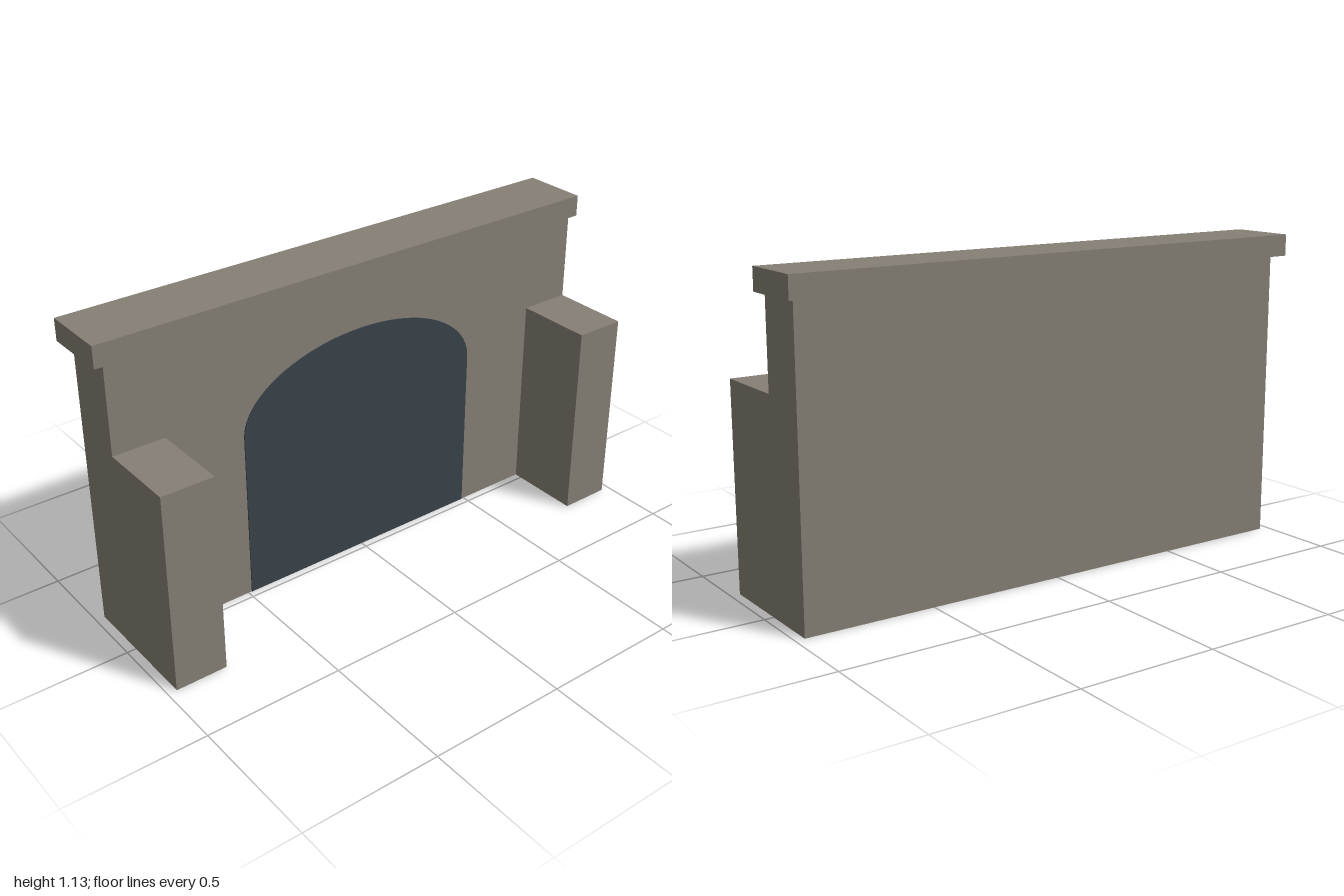
import * as THREE from 'three';

export function createModel() {
  const group = new THREE.Group();
  const stone = new THREE.MeshStandardMaterial({ color: 0x857f74 });
  stone.name = 'stone';
  const dark = new THREE.MeshStandardMaterial({ color: 0x3a4248 });
  dark.name = 'darkOpening';

  // Box given by its min and max corners
  const addBox = (name, [x0, y0, z0], [x1, y1, z1]) => {
    const mesh = new THREE.Mesh(new THREE.BoxGeometry(x1 - x0, y1 - y0, z1 - z0), stone);
    mesh.position.set((x0 + x1) / 2, (y0 + y1) / 2, (z0 + z1) / 2);
    mesh.name = name;
    group.add(mesh);
  };

  // Headwall and overhanging coping
  addBox('wall', [-0.967, 0, -0.218], [0.967, 1.052, -0.028]);
  addBox('coping', [-1, 1.052, -0.26], [1, 1.13, -0.02]);

  // Wing walls reaching forward at both ends
  addBox('leftWing', [0.778, 0, -0.028], [0.967, 0.735, 0.262]);
  addBox('rightWing', [-0.967, 0, -0.028], [-0.778, 0.735, 0.262]);

  // Thin dark plate with an elliptical arched top
  const arch = new THREE.Shape();
  arch.moveTo(-0.487, 0.002);
  arch.lineTo(0.487, 0.002);
  arch.lineTo(0.487, 0.625);
  arch.absellipse(0, 0.625, 0.487, 0.263, 0, Math.PI, false);
  arch.closePath();
  const opening = new THREE.Mesh(
    new THREE.ExtrudeGeometry(arch, { depth: 0.004, bevelEnabled: false, curveSegments: 20 }),
    dark
  );
  opening.position.z = -0.028;
  opening.name = 'archOpening';
  group.add(opening);

  return group;
}
